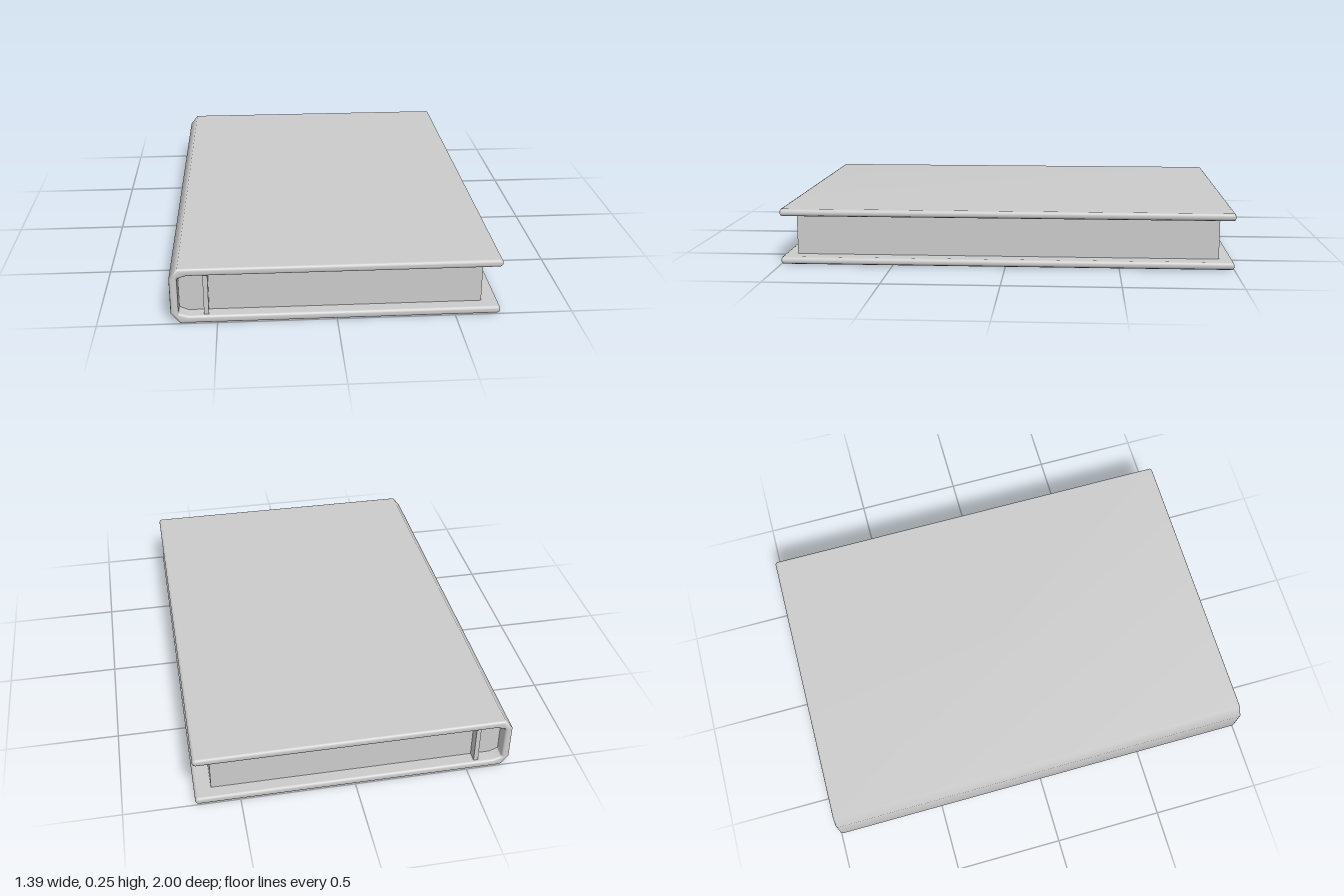
import * as THREE from 'three';
import { mergeVertices } from 'three/addons/utils/BufferGeometryUtils.js';

const HEIGHT = 0.25;
const MID = HEIGHT / 2;

// Mirrors a list of upper-half points to close a profile symmetric about mid height
function mirroredShape(upper) {
  const lower = upper.map(([x, y]) => [x, HEIGHT - y]).reverse();
  return new THREE.Shape([...upper, ...lower].map(([x, y]) => new THREE.Vector2(x, y)));
}

// Extrudes a profile along z, centred, with optional softened ends
function extrudeCentred(shape, length, bevel = 0) {
  const geometry = new THREE.ExtrudeGeometry(shape, {
    depth: length - 2 * bevel,
    bevelEnabled: bevel > 0,
    bevelSize: bevel,
    bevelThickness: bevel,
    bevelOffset: -bevel,
    bevelSegments: 2,
  });
  geometry.translate(0, 0, bevel - length / 2);
  return geometry;
}

export function createModel() {
  const book = new THREE.Group();
  book.name = 'book';
  const material = new THREE.MeshStandardMaterial({ color: 0xcccccc });

  const add = (name, geometry) => {
    const mesh = new THREE.Mesh(geometry, material);
    mesh.name = name;
    book.add(mesh);
    return mesh;
  };

  // Cover: front board, chamfered spine and back board in one C-shaped profile
  const coverShape = mirroredShape([
    [-0.66, 0.205 - 0.005],
    [-0.655, 0.206],
    [-0.62, 0.217],
    [0.68, 0.217],
    [0.69, 0.222],
    [0.693, 0.229],
    [0.693, 0.238],
    [0.69, 0.245],
    [0.68, 0.25],
    [-0.657, 0.25],
    [-0.693, 0.204],
  ]);
  // Area-weighted normals keep the boards flat and round the narrow edges
  let cover = extrudeCentred(coverShape, 2, 0.01);
  cover.deleteAttribute('normal');
  cover.deleteAttribute('uv');
  cover = mergeVertices(cover);
  cover.computeVertexNormals();
  add('cover', cover);

  // Page block, fitted into the inside of the spine
  const pageShape = mirroredShape([
    [0.62, 0.218],
    [-0.62, 0.218],
    [-0.659, 0.2],
  ]);
  add('pages', extrudeCentred(pageShape, 1.88));

  // Thin binding strip, standing out past both ends of the pages
  const strip = add('bindingStrip', new THREE.BoxGeometry(0.02, 0.182, 1.97));
  strip.position.set(-0.545, MID, 0);

  return book;
}
